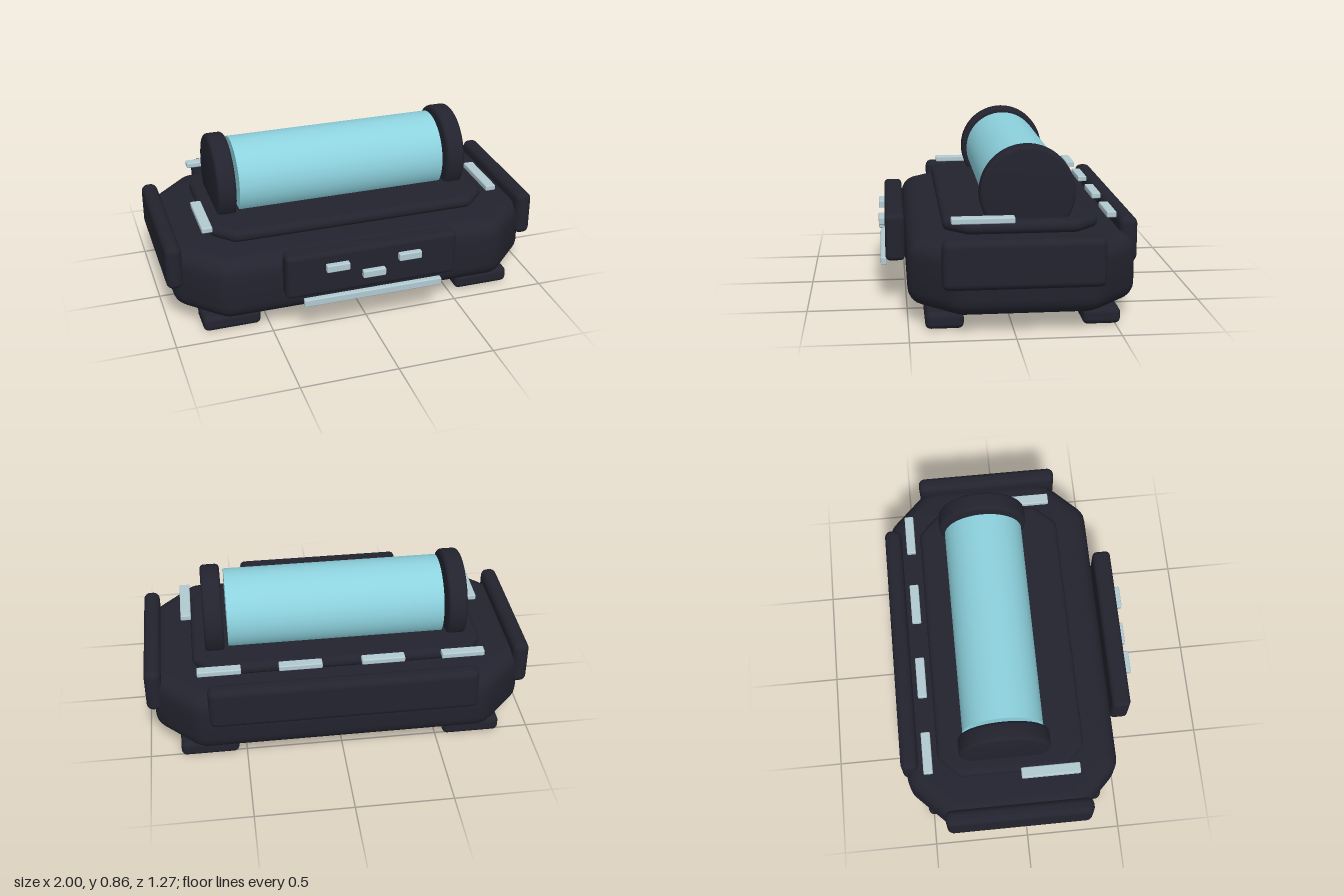
import * as THREE from 'three';
import { toCreasedNormals } from 'three/addons/utils/BufferGeometryUtils.js';
import { RoundedBoxGeometry } from 'three/addons/geometries/RoundedBoxGeometry.js';

export function createModel() {
  const model = new THREE.Group();
  model.name = 'rollerDevice';
  const mat = (name, color) => {
    const m = new THREE.MeshStandardMaterial({ color });
    m.name = name;
    return m;
  };
  const casing = mat('dark casing', 0x23232f);
  const glass = mat('teal roller', 0x8dd2de);
  const light = mat('pale light', 0xb2cad2);

  const add = (name, geometry, material) => {
    const mesh = new THREE.Mesh(geometry, material);
    mesh.name = name;
    model.add(mesh);
    return mesh;
  };

  // Rounded box given by its lower and upper corners
  const box = (name, a, b, radius, material) => {
    const s = b.map((v, i) => v - a[i]);
    const mesh = add(name, new RoundedBoxGeometry(s[0], s[1], s[2], 4, radius), material);
    mesh.position.set(...a.map((v, i) => (v + b[i]) / 2));
    return mesh;
  };

  // Slab with clipped, softened corners and rounded rims
  const slab = (name, x, z0, z1, y0, y1, cut, bevel) => {
    const corners = [[x, -z1, -1, 1], [x, -z0, -1, -1], [-x, -z0, 1, -1], [-x, -z1, 1, 1]];
    const s = new THREE.Shape();
    const pts = [];
    corners.forEach(([cx, cy, dx, dy], i) => {
      const onX = [cx + dx * cut, cy], onY = [cx, cy + dy * cut];
      pts.push(...(i % 2 ? [onY, onX] : [onX, onY]));
    });
    const soft = cut * 0.2;
    pts.forEach((p, i) => {
      const prev = pts[(i + 7) % 8], next = pts[(i + 1) % 8];
      const toward = (q) => {
        const d = Math.hypot(q[0] - p[0], q[1] - p[1]);
        return [p[0] + (q[0] - p[0]) * soft / d, p[1] + (q[1] - p[1]) * soft / d];
      };
      const a = toward(prev), b = toward(next);
      if (i) s.lineTo(...a); else s.moveTo(...a);
      s.quadraticCurveTo(p[0], p[1], b[0], b[1]);
    });
    s.closePath();
    const g = new THREE.ExtrudeGeometry(s, {
      depth: y1 - y0 - 2 * bevel, bevelThickness: bevel, bevelSize: bevel,
      bevelOffset: -bevel, bevelSegments: 5, curveSegments: 3,
    });
    g.rotateX(-Math.PI / 2).translate(0, y0 + bevel, 0);
    return add(name, toCreasedNormals(g, 0.6), casing);
  };

  // Main body and raised deck
  slab('body', 0.96, -0.61, 0.5, 0.09, 0.425, 0.22, 0.085);
  slab('deck', 0.75, -0.44, 0.325, 0.437, 0.5, 0.11, 0.03);

  // Roller between two rounded end discs
  const roller = add('roller', new THREE.CylinderGeometry(0.208, 0.208, 1.12, 64), glass);
  roller.rotation.z = Math.PI / 2;
  roller.position.set(0, 0.62, -0.09);
  const profile = [new THREE.Vector2(0, -0.05)];
  for (const dir of [-1, 1]) {
    for (let i = 0; i <= 4; i++) {
      const t = (dir < 0 ? i - 4 : i) * Math.PI / 8;
      profile.push(new THREE.Vector2(0.215 + 0.02 * Math.cos(t), dir * 0.03 + 0.02 * Math.sin(t)));
    }
  }
  profile.push(new THREE.Vector2(0, 0.05));
  const discGeometry = toCreasedNormals(new THREE.LatheGeometry(profile, 64), 0.6);

  for (const [side, sx] of [['left', 1], ['right', -1]]) {
    const disc = add(side + 'EndDisc', discGeometry, casing);
    disc.rotation.z = Math.PI / 2;
    disc.position.set(sx * 0.63, 0.62, -0.09);

    // Side pad, deck strip and feet
    const span = (lo, hi) => (sx > 0 ? [lo, hi] : [-hi, -lo]);
    const [p0, p1] = span(0.915, 1);
    box(side + 'SidePad', [p0, 0.235, -0.425], [p1, 0.475, 0.345], 0.035, casing);
    const [l0, l1] = span(0.745, 0.8);
    box(side + 'LightStrip', [l0, 0.505, -0.015], [l1, 0.535, 0.29], 0.006, light);
    const [f0, f1] = span(0.54, 0.84);
    box(side + 'FrontFoot', [f0, 0, 0.235], [f1, 0.083, 0.42], 0.028, casing);
    box(side + 'BackFoot', [f0, 0, -0.525], [f1, 0.083, -0.34], 0.028, casing);
  }

  // Front and back pads
  box('frontPanel', [-0.45, 0.233, 0.505], [0.45, 0.472, 0.603], 0.025, casing);
  box('backPad', [-0.685, 0.26, -0.635], [0.685, 0.49, -0.545], 0.035, casing);

  // Front lights and the strip below them
  for (const [x, y] of [[-0.19, 0.393], [0, 0.328], [0.19, 0.393]]) {
    box('frontLight', [x - 0.06, y - 0.02, 0.602], [x + 0.06, y + 0.02, 0.634], 0.006, light);
  }
  box('frontStrip', [-0.365, 0.192, 0.597], [0.365, 0.232, 0.628], 0.006, light);

  // Row of lights along the back
  for (const x of [-0.62, -0.21, 0.21, 0.62]) {
    box('backLight', [x - 0.11, 0.505, -0.515], [x + 0.11, 0.535, -0.467], 0.006, light);
  }

  return model;
}
